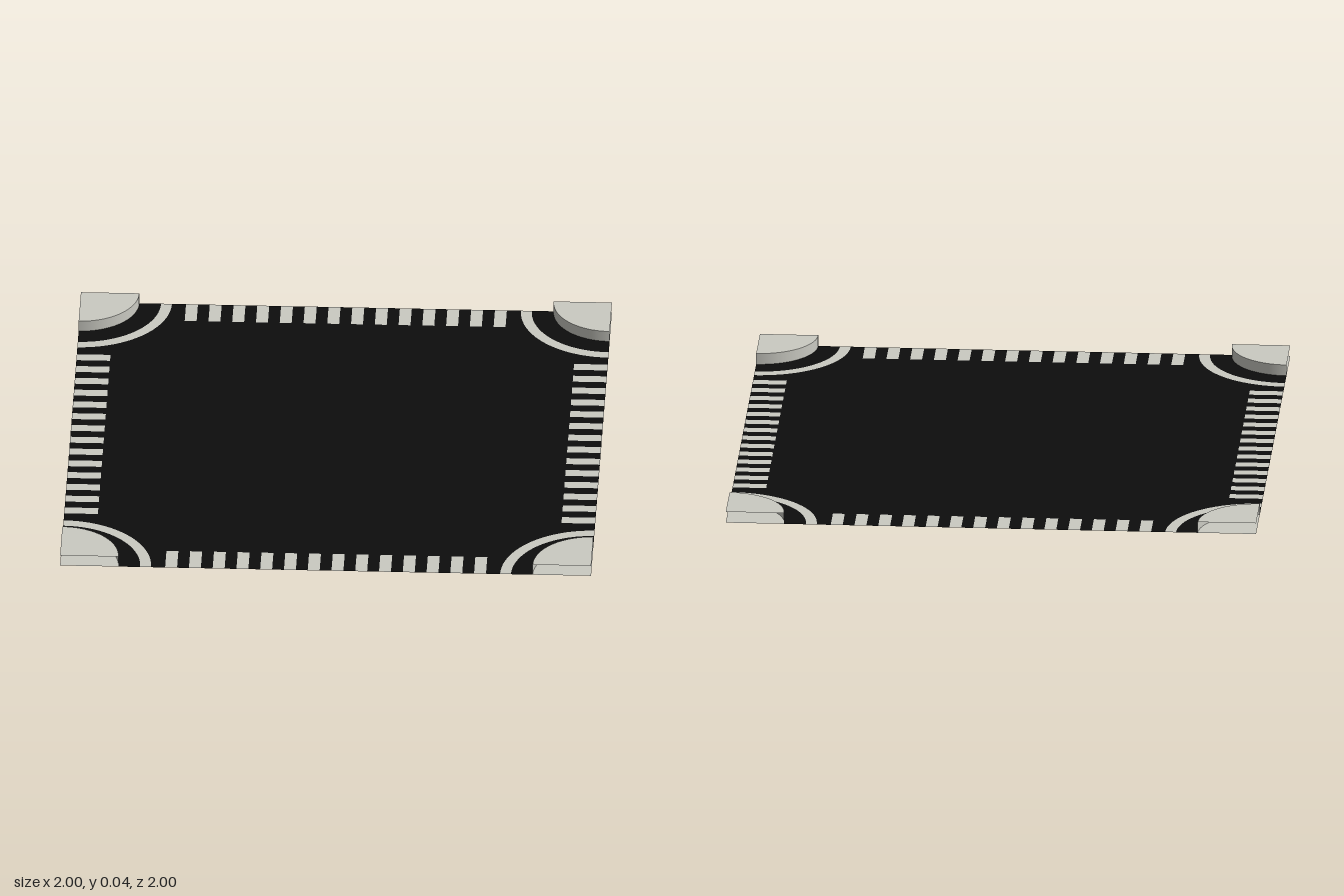
import * as THREE from 'three';

const CURB_R = 0.22, LINE_IN = 0.302, LINE_OUT = 0.343, CURB_H = 0.043;
const STRIPES = 14, STEP = 0.0895, STRIPE_W = 0.045, STRIPE_L = 0.127;
const SEG = 20, Q = Math.PI / 2;

export function createModel() {
  const asphalt = new THREE.MeshStandardMaterial({ color: 0x0d0d0d, side: THREE.DoubleSide });
  asphalt.name = 'asphalt black';
  const concrete = new THREE.MeshStandardMaterial({ color: 0xcacac2, side: THREE.DoubleSide });
  concrete.name = 'concrete grey';

  const root = new THREE.Group();
  root.name = 'crossroads';
  const add = (parent, name, geometry, material) => {
    const mesh = new THREE.Mesh(geometry, material);
    mesh.name = name;
    parent.add(mesh);
  };
  const stripeX = (i) => (i - (STRIPES - 1) / 2) * STEP;

  // Road surface: outline notched for the crossing stripes and cut round at the corners
  const outline = [];
  const origin = new THREE.Vector2();
  for (let side = 0; side < 4; side++) {
    const put = (x, y) => outline.push(new THREE.Vector2(x, y).rotateAround(origin, side * Q));
    for (let i = 0; i < STRIPES; i++) {
      const a = stripeX(i) - STRIPE_W / 2, b = a + STRIPE_W;
      put(a, -1);
      put(a, -1 + STRIPE_L);
      put(b, -1 + STRIPE_L);
      put(b, -1);
    }
    for (let i = 0; i <= SEG; i++) {
      const t = Math.PI - (i / SEG) * Q;
      put(1 + LINE_OUT * Math.cos(t), -1 + LINE_OUT * Math.sin(t));
    }
  }
  add(root, 'roadSurface', new THREE.ShapeGeometry(new THREE.Shape(outline)).rotateX(-Q), asphalt);

  // Flat quarter pieces around the front left corner of the tile
  const flat = (g, y = 0) => g.translate(1, -1, 0).rotateX(-Q).translate(0, y, 0);
  const band = (r0, r1) => flat(new THREE.RingGeometry(r0, r1, SEG, 1, Q, Q));
  const sector = (y) => flat(new THREE.CircleGeometry(CURB_R, SEG, Q, Q), y);

  for (let side = 0; side < 4; side++) {
    // Corner: gutter, painted line and raised pavement, open at the tile edges
    const corner = new THREE.Group();
    corner.name = 'corner' + (side + 1);
    corner.rotation.y = side * Q;
    add(corner, 'gutter', band(CURB_R, LINE_IN), asphalt);
    add(corner, 'cornerLine', band(LINE_IN, LINE_OUT), concrete);
    add(corner, 'pavementBase', sector(0), concrete);
    add(corner, 'pavementTop', sector(CURB_H), concrete);
    const wall = new THREE.CylinderGeometry(CURB_R, CURB_R, CURB_H, SEG, 1, true, Math.PI, Q);
    add(corner, 'curbWall', wall.translate(1, CURB_H / 2, 1), concrete);
    root.add(corner);

    // Crossing stripes filling the notches of one edge
    const crossing = new THREE.Group();
    crossing.name = 'crossing' + (side + 1);
    crossing.rotation.y = side * Q;
    for (let i = 0; i < STRIPES; i++) {
      const stripe = new THREE.PlaneGeometry(STRIPE_W, STRIPE_L).rotateX(-Q);
      add(crossing, 'crossingStripe', stripe.translate(stripeX(i), 0, 1 - STRIPE_L / 2), concrete);
    }
    root.add(crossing);
  }
  return root;
}
